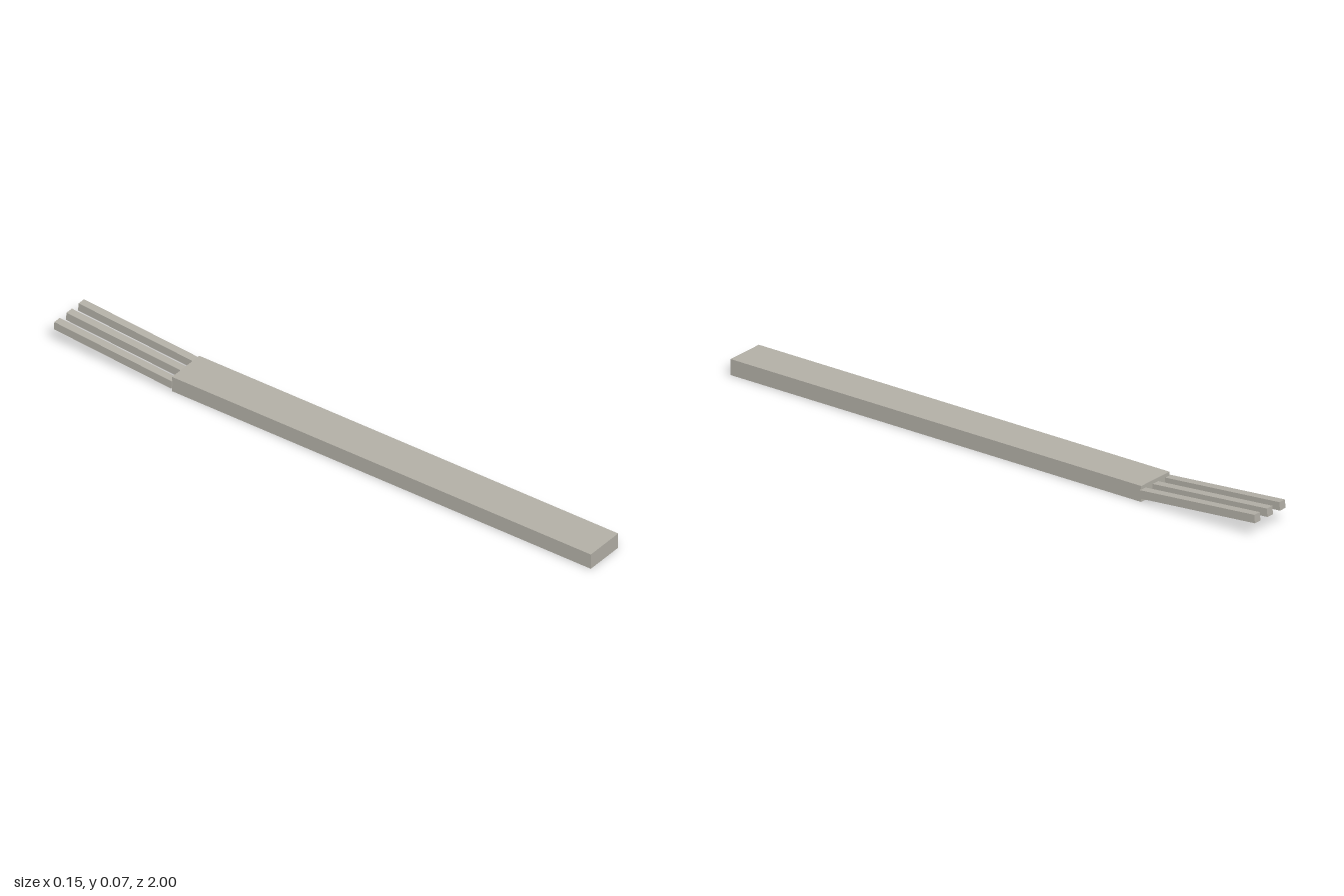
import * as THREE from 'three';

export function createModel() {
  const model = new THREE.Group();
  const metal = new THREE.MeshStandardMaterial({ color: 0xb3b0a7 });
  metal.name = 'warm grey metal';

  const addBox = (name, size, position, tilt = 0) => {
    const mesh = new THREE.Mesh(new THREE.BoxGeometry(...size), metal);
    mesh.name = name;
    mesh.position.set(...position);
    mesh.rotation.x = tilt;
    model.add(mesh);
  };

  // Long flat handle
  addBox('handle', [0.138, 0.052, 1.563], [0, 0.026, 0.2185]);

  // Three prongs rising gently towards the back
  ['rightProng', 'middleProng', 'leftProng'].forEach((name, i) => {
    addBox(name, [0.027, 0.027, 0.439], [(i - 1) * 0.061, 0.044, -0.78], 0.08);
  });

  return model;
}
